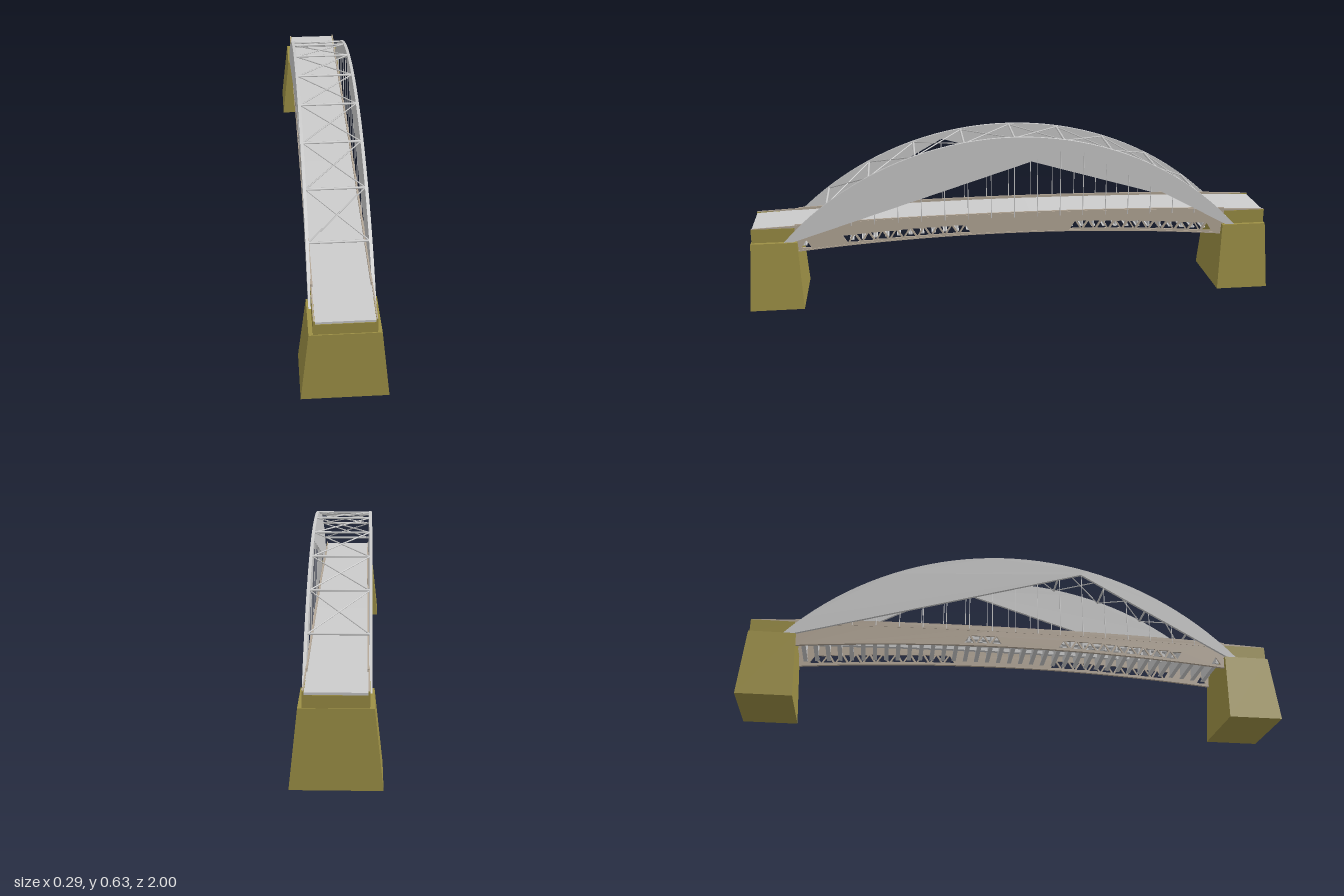
import * as THREE from 'three';

const mat = (color) => new THREE.MeshStandardMaterial({ color });
const grey = mat(0xcccccc), stone = mat(0x9c8f45), girderPaint = mat(0xb5a898);

// Circular arch line, radius R about a centre below the deck
const CY = 0.633 - 1.1736, R_OUT = 1.1736, R_IN = 1.15, FOOT_Y = 0.257;
const archY = (z, r) => CY + Math.sqrt(r * r - z * z);
const footZ = (r) => Math.sqrt(r * r - (FOOT_Y - CY) ** 2);

// Gently cambered road and girder lines
const deckY = (z) => 0.328 - 0.022 * (z / 0.98) ** 2;
const kerbY = (z) => deckY(z) + 0.01;
const girderBottom = (z) => 0.255 - 0.04 * (z / 0.82) ** 2;

function add(group, name, geometry, material) {
  const mesh = new THREE.Mesh(geometry, material);
  mesh.name = name;
  group.add(mesh);
  return mesh;
}

// Extrudes a (z, y) shape across x, from x0 to x1
function plate(group, name, shape, x0, x1, material) {
  const g = new THREE.ExtrudeGeometry(shape, { depth: x1 - x0, bevelEnabled: false });
  g.rotateY(-Math.PI / 2).translate(x1, 0, 0);
  return add(group, name, g, material);
}

// Outline between two height functions over a z range
function band(z0, z1, low, high, n = 32) {
  const pts = [];
  for (let i = 0; i <= n; i++) { const z = z0 + (z1 - z0) * i / n; pts.push(new THREE.Vector2(z, low(z))); }
  for (let i = n; i >= 0; i--) { const z = z0 + (z1 - z0) * i / n; pts.push(new THREE.Vector2(z, high(z))); }
  return new THREE.Shape(pts);
}

function bar(group, name, a, b, radius, sides = 6) {
  const dir = b.clone().sub(a);
  const mesh = add(group, name, new THREE.CylinderGeometry(radius, radius, dir.length(), sides), grey);
  mesh.position.copy(a).addScaledVector(dir, 0.5);
  mesh.quaternion.setFromUnitVectors(new THREE.Vector3(0, 1, 0), dir.normalize());
}

const v = (x, y, z) => new THREE.Vector3(x, y, z);

// Tapered abutment with the road block on top
function pier(s) {
  const g = new THREE.Group();
  g.name = s > 0 ? 'frontPier' : 'backPier';
  const base = new THREE.BoxGeometry(0.286, 0.257, 0.2).toNonIndexed();
  const p = base.attributes.position;
  for (let i = 0; i < p.count; i++) {
    const top = p.getY(i) > 0;
    const outer = p.getZ(i) * s > 0;
    const z = top ? (outer ? 0.983 : 0.813) : (outer ? 1 : 0.8);
    p.setXYZ(i, Math.sign(p.getX(i)) * (top ? 0.115 : 0.143), top ? 0.257 : 0, s * z);
  }
  if (s < 0) base.computeBoundingBox();
  base.computeVertexNormals();
  add(g, 'pierBase', base, stone);
  add(g, 'pierBlock', new THREE.BoxGeometry(0.196, 0.042, 0.16), stone).position.set(0, 0.277, s * 0.9);
  for (const x of [-1, 1])
    add(g, 'pierParapet', new THREE.BoxGeometry(0.006, 0.054, 0.16), stone).position.set(x * 0.098, 0.283, s * 0.9);
  return g;
}

// Arch rib with its deep web plate: the soffit is two chords meeting at peakZ
function archRib(group, side, peakZ) {
  const pts = [], fo = footZ(R_OUT), fi = footZ(R_IN), n = 40;
  const a = Math.asin(fo / R_OUT);
  for (let i = 0; i <= n; i++) {
    const t = a - 2 * a * i / n;
    pts.push(new THREE.Vector2(R_OUT * Math.sin(t), CY + R_OUT * Math.cos(t)));
  }
  pts.push(new THREE.Vector2(-fi, FOOT_Y), new THREE.Vector2(peakZ, archY(peakZ, R_IN)), new THREE.Vector2(fi, FOOT_Y));
  const x = side * 0.1035;
  plate(group, side > 0 ? 'leftArch' : 'rightArch', new THREE.Shape(pts), x - 0.0055, x + 0.0055, grey);
}

// Side girder with zigzag lattice openings over the given z ranges
function girder(group, side, ranges) {
  const shape = band(-0.82, 0.82, girderBottom, kerbY);
  const step = 0.026;
  for (const [z0, z1] of ranges) {
    let up = true;
    for (let z = z0; z + 2 * step <= z1; z += step, up = !up) {
      const mid = z + step;
      const lo = girderBottom(mid) + 0.011, hi = lo + 0.03;
      const [wide, tip] = up ? [lo, hi] : [hi, lo];
      const w = step * 0.72;
      shape.holes.push(new THREE.Path([
        new THREE.Vector2(mid - w, wide), new THREE.Vector2(mid + w, wide), new THREE.Vector2(mid, tip),
      ]));
    }
  }
  const x = side * 0.096;
  plate(group, side > 0 ? 'leftGirder' : 'rightGirder', shape, x - 0.003, x + 0.003, girderPaint);
  // Flanges along the bottom edge
  const flange = band(-0.82, 0.82, girderBottom, (z) => girderBottom(z) + 0.005);
  plate(group, 'girderFlange', flange, x - 0.005, x + 0.005, girderPaint);
}

export function createModel() {
  const model = new THREE.Group();
  model.name = 'archBridge';
  model.add(pier(1), pier(-1));

  // Road
  plate(model, 'roadDeck', band(-0.978, 0.978, (z) => deckY(z) - 0.012, deckY), -0.098, 0.098, grey);
  for (const s of [-1, 1])
    plate(model, 'kerb', band(-0.978, 0.978, (z) => deckY(z) - 0.012, (z) => deckY(z) + 0.006),
      s * 0.098 - 0.002, s * 0.098 + 0.002, girderPaint);

  // Girders and arches
  girder(model, 1, [[0.16, 0.66], [-0.78, -0.2], [0.755, 0.81]]);
  girder(model, -1, [[0.16, 0.66], [-0.2, -0.04], [0.755, 0.81]]);
  archRib(model, 1, -0.22);
  archRib(model, -1, 0.26);

  // Cross beams and stringers beneath the road
  const floor = new THREE.Group();
  floor.name = 'floorBeams';
  model.add(floor);
  for (let i = -18; i <= 18; i++) {
    const z = i * 0.0437;
    const top = deckY(z) - 0.012, bottom = girderBottom(z) + 0.02;
    add(floor, 'crossBeam', new THREE.BoxGeometry(0.188, top - bottom, 0.006), grey).position.set(0, (top + bottom) / 2, z);
    add(floor, 'beamFlange', new THREE.BoxGeometry(0.188, 0.004, 0.016), grey).position.set(0, bottom, z);
  }
  for (const x of [-0.05, 0, 0.05])
    plate(floor, 'stringer', band(-0.82, 0.82, (z) => deckY(z) - 0.026, (z) => deckY(z) - 0.011), x - 0.002, x + 0.002, grey);

  // Hangers
  const hangers = new THREE.Group();
  hangers.name = 'hangers';
  model.add(hangers);
  for (const s of [-1, 1])
    for (let i = -8; i <= 8; i++) {
      const z = i * 0.0875;
      bar(hangers, 'hanger', v(s * 0.1, deckY(z) - 0.01, z), v(s * 0.1, archY(z, R_IN), z), 0.0016, 5);
    }

  // Wind bracing between the arches: struts and crossed diagonals
  const bracing = new THREE.Group();
  bracing.name = 'windBracing';
  model.add(bracing);
  const r = 1.169;
  const node = (i, x) => {
    const t = i * Math.asin(0.7 / r) / 4;
    return v(x, CY + r * Math.cos(t), r * Math.sin(t));
  };
  for (let i = -4; i <= 4; i++) {
    bar(bracing, 'strut', node(i, -0.1), node(i, 0.1), 0.0042, 8);
    if (i < 4)
      for (const s of [-1, 1]) bar(bracing, 'diagonal', node(i, -s * 0.1), node(i + 1, s * 0.1), 0.0024);
  }
  return model;
}
